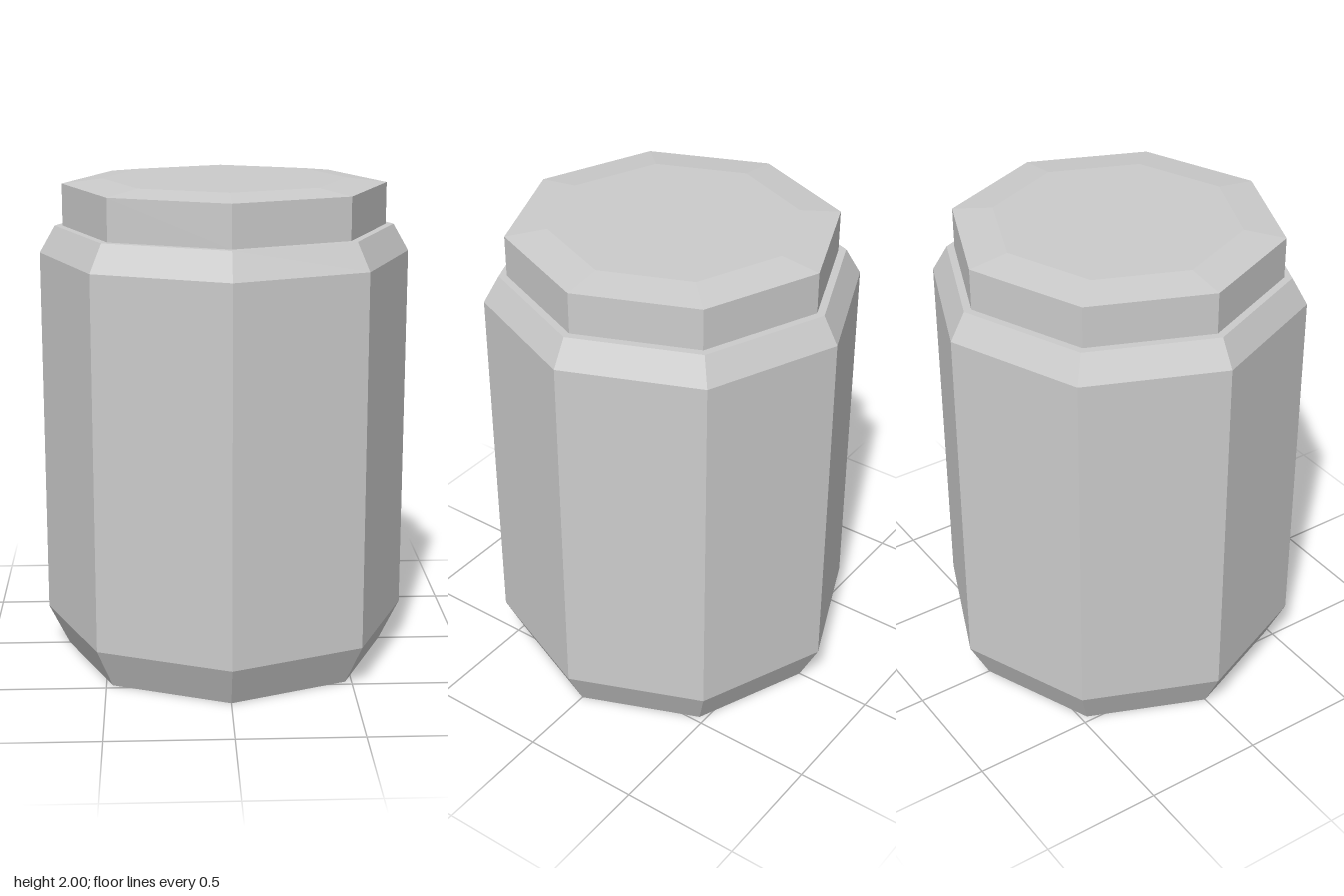
import * as THREE from 'three';

const SIDES = 8;

// Eight-sided solid turned from a [radius, height] profile, listed bottom to top
function turned(name, profile, material) {
  const points = profile.map(([r, y]) => new THREE.Vector2(r, y));
  const mesh = new THREE.Mesh(new THREE.LatheGeometry(points, SIDES), material);
  mesh.name = name;
  return mesh;
}

export function createModel() {
  const model = new THREE.Group();
  model.name = 'jar';
  const material = new THREE.MeshStandardMaterial({ color: 0xcccccc, flatShading: true });

  // Body with bevelled foot and shoulder
  model.add(turned('body', [
    [0, 0], [0.67, 0], [0.755, 0.17], [0.755, 1.7], [0.692, 1.81], [0, 1.81],
  ], material));

  // Lid with a shallow sloping rim around its flat top
  model.add(turned('lid', [
    [0.66, 1.81], [0.66, 1.98], [0.495, 2], [0, 2],
  ], material));

  return model;
}
